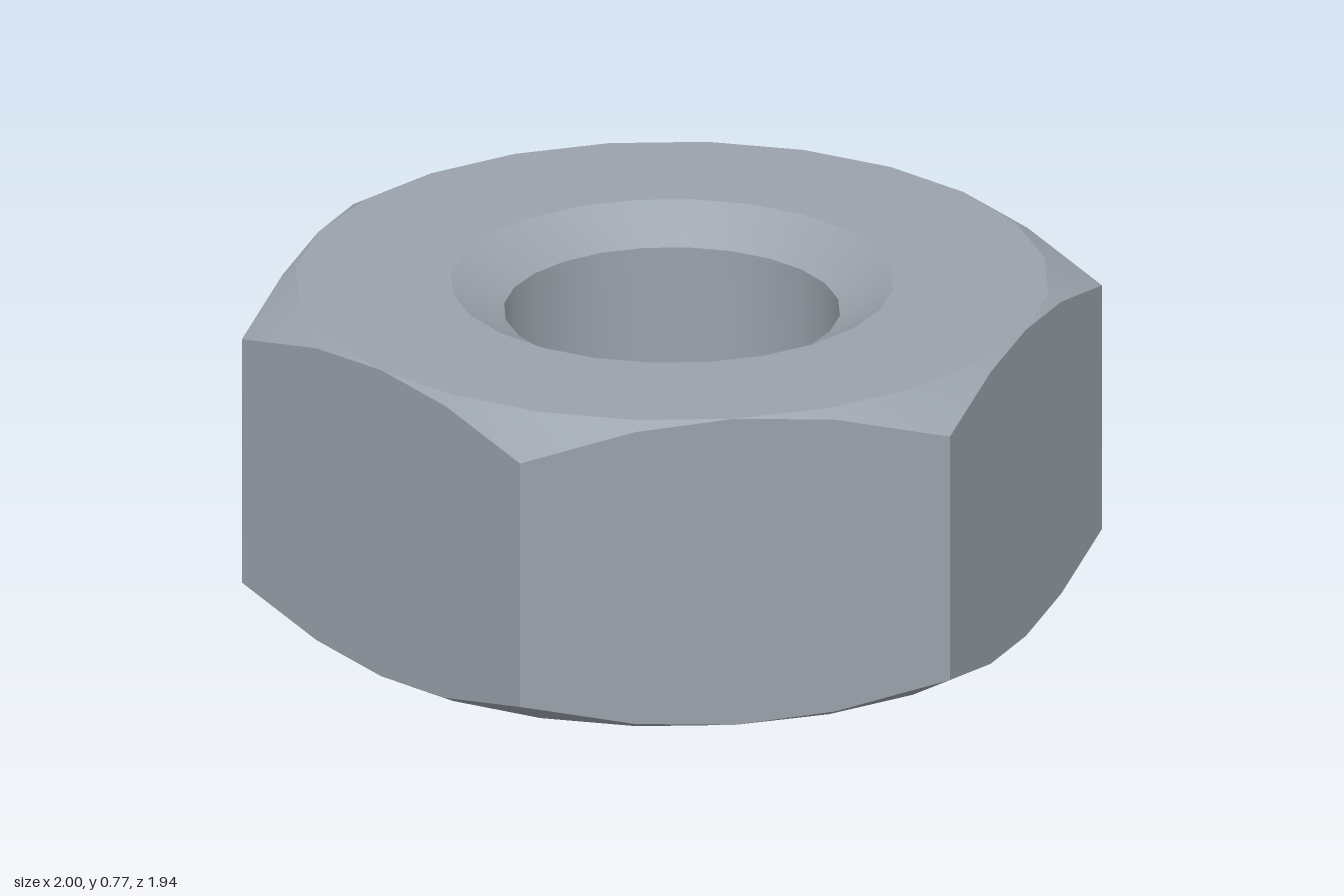
import * as THREE from 'three';
import { toCreasedNormals } from 'three/addons/utils/BufferGeometryUtils.js';

const HEIGHT = 0.772;
const APOTHEM = 0.885;      // centre to flat, also the chamfer circle
const BORE = 0.395;
const SINK = 0.52;          // countersink mouth
const SINK_DEPTH = 0.072;
const CHAMFER_SLOPE = Math.tan(Math.PI / 6);
const SEGMENTS = 24;
const START = THREE.MathUtils.degToRad(11.95); // angle of the first corner

// Closed cross-section through the ring in direction i, as [radius, y]
function section(i) {
  const fromFlat = (i % 4) * Math.PI / 12 - 0;
  const offset = (i % (SEGMENTS / 6)) * (2 * Math.PI / SEGMENTS) - Math.PI / 6;
  const hex = APOTHEM / Math.cos(offset);
  const drop = (hex - APOTHEM) * CHAMFER_SLOPE;
  const a = START + i * 2 * Math.PI / SEGMENTS;
  return [
    [BORE, SINK_DEPTH], [BORE, HEIGHT - SINK_DEPTH], [SINK, HEIGHT], [APOTHEM, HEIGHT],
    [hex, HEIGHT - drop], [hex, drop], [APOTHEM, 0], [SINK, 0],
  ].map(([r, y]) => new THREE.Vector3(r * Math.cos(a), y, r * Math.sin(a)));
}

// Joins neighbouring sections, leaving out triangles that shrink to a line
function nutGeometry() {
  const points = [];
  const addTriangle = (a, b, c) => {
    if (new THREE.Triangle(a, b, c).getArea() > 1e-6) points.push(a, b, c);
  };
  for (let i = 0; i < SEGMENTS; i++) {
    const s = section(i);
    const t = section((i + 1) % SEGMENTS);
    for (let k = 0; k < s.length; k++) {
      const n = (k + 1) % s.length;
      addTriangle(s[k], t[k], s[n]);
      addTriangle(t[k], t[n], s[n]);
    }
  }
  const geometry = new THREE.BufferGeometry().setFromPoints(points);
  return toCreasedNormals(geometry, THREE.MathUtils.degToRad(20));
}

export function createModel() {
  const steel = new THREE.MeshStandardMaterial({ color: 0x9aa2ab });
  steel.name = 'steel';
  const group = new THREE.Group();
  group.name = 'hexNut';
  const nut = new THREE.Mesh(nutGeometry(), steel);
  nut.name = 'nutBody';
  group.add(nut);
  return group;
}
